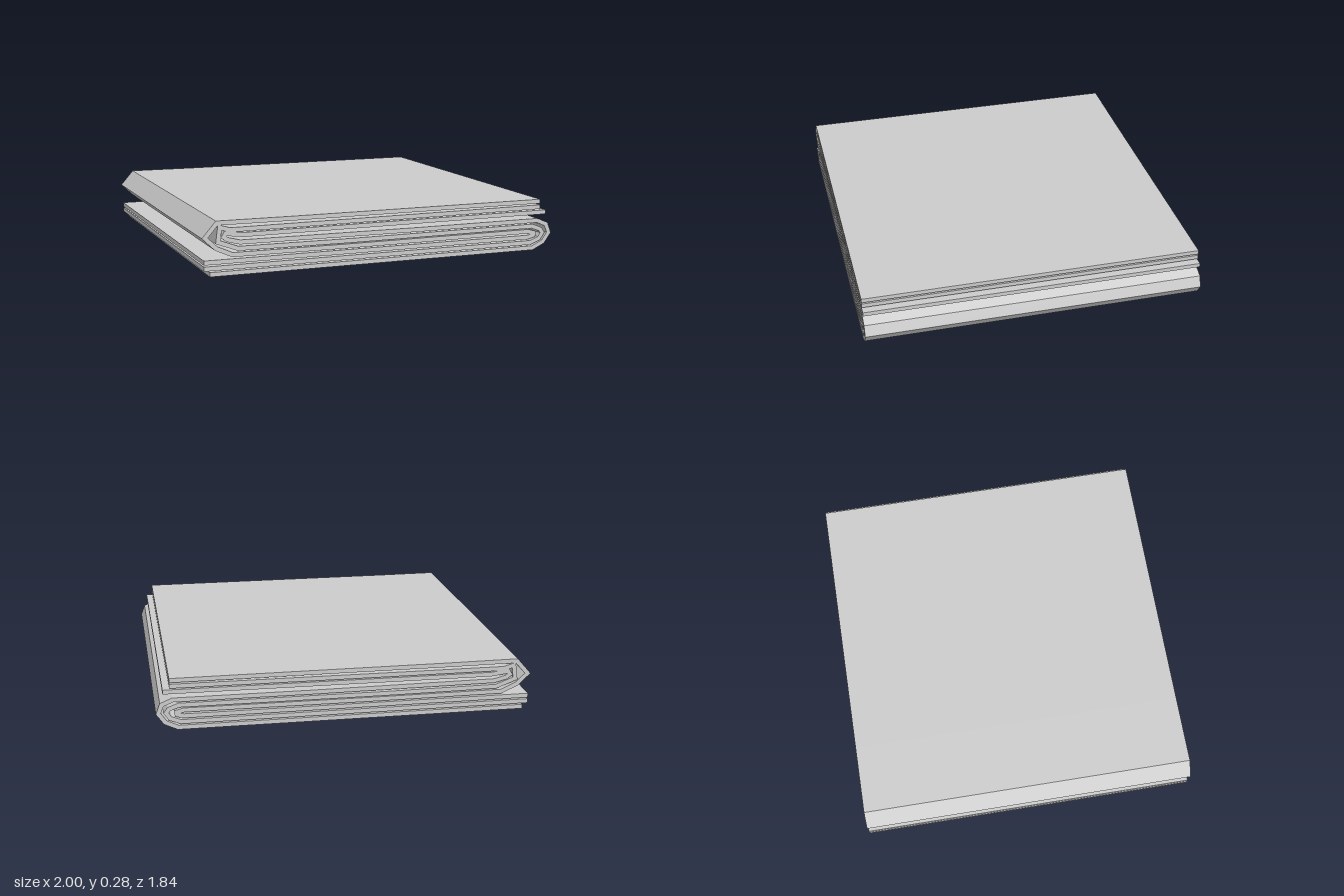
import * as THREE from 'three';

const HALF = 0.0115;   // half the thickness of one layer
const DEPTH = 1.84;

// Offsets a folded centre line to both sides with mitred corners
function stripShape(path) {
  const pts = path.map(([x, y]) => new THREE.Vector2(x, y));
  const normal = (a, b) => {
    const d = b.clone().sub(a).normalize();
    return new THREE.Vector2(-d.y, d.x);
  };
  const left = [], right = [];
  pts.forEach((p, i) => {
    const n0 = normal(pts[Math.max(i - 1, 0)], pts[Math.max(i, 1)]);
    const last = pts.length - 1;
    const n1 = normal(pts[Math.min(i, last - 1)], pts[Math.min(i + 1, last)]);
    const m = n0.clone().add(n1).normalize();
    m.multiplyScalar(HALF / Math.max(m.dot(n1), 0.5));
    left.push(p.clone().add(m));
    right.push(p.clone().sub(m));
  });
  return new THREE.Shape([...left, ...right.reverse()]);
}

export function createModel() {
  const group = new THREE.Group();
  const material = new THREE.MeshStandardMaterial({ color: 0xcccccc, flatShading: true });

  // Three nested layers, each folded in an S: bottom, right fold, middle, left fold, top
  const layers = {
    lowerLayer: [
      [-0.96, 0.0125], [0.885, 0.0125], [0.95, 0.043], [0.985, 0.092], [0.967, 0.14], [0.91, 0.164],
      [0.2, 0.163], [-0.8, 0.168], [-0.865, 0.185], [-0.885, 0.2], [-0.875, 0.217], [-0.78, 0.205],
      [0.1, 0.207], [0.96, 0.209],
    ],
    middleLayer: [
      [-0.99, 0.043], [0.87, 0.043], [0.925, 0.064], [0.945, 0.094], [0.93, 0.115], [0.88, 0.134],
      [-0.2, 0.132], [-0.81, 0.136], [-0.915, 0.175], [-0.905, 0.25], [-0.85, 0.234],
      [0, 0.236], [0.925, 0.239],
    ],
    upperLayer: [
      [-0.99, 0.074], [0.855, 0.074], [0.89, 0.083], [0.892, 0.096], [0.855, 0.106],
      [-0.2, 0.104], [-0.84, 0.106], [-0.925, 0.144], [-0.983, 0.2], [-0.92, 0.273],
      [-0.55, 0.271], [0.925, 0.27],
    ],
  };

  for (const [name, path] of Object.entries(layers)) {
    const geometry = new THREE.ExtrudeGeometry(stripShape(path), { depth: DEPTH, bevelEnabled: false });
    geometry.translate(0, 0, -DEPTH / 2);
    const mesh = new THREE.Mesh(geometry, material);
    mesh.name = name;
    group.add(mesh);
  }
  group.name = 'foldedCloth';
  return group;
}
